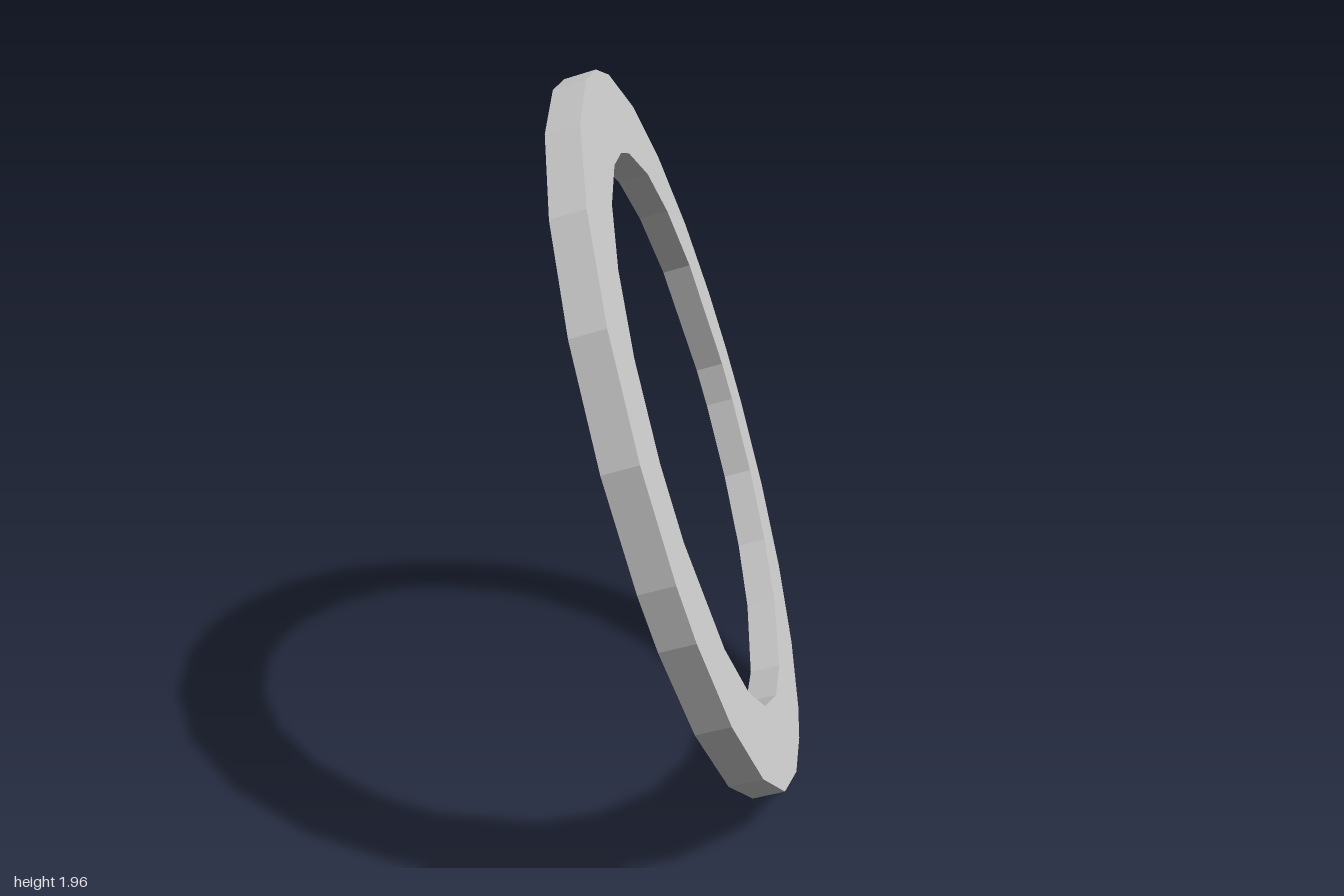
import * as THREE from 'three';

const OUTER = 1.01, INNER = 0.785, THICKNESS = 0.088, TILT = 0.288;

// Corner angles in degrees, measured from the top towards +z
const outerAngles = [0, 11.5, 27.5, 44.5, 61.5, 78.5, 94, 102.5, 118, 135, 152, 168.5,
  182, 191.5, 208, 225, 242, 259, 270, 282, 297.5, 315, 331, 348.5];
const innerAngles = [0, 12, 28.5, 45, 62, 80, 94, 118, 135, 151, 169,
  185, 208, 225, 243, 261, 270, 297, 315, 331.5, 350];

function corners(angles, radius) {
  return angles.map((deg) => {
    const a = THREE.MathUtils.degToRad(deg);
    return new THREE.Vector2(-Math.sin(a) * radius * 0.993, Math.cos(a) * radius);
  });
}

export function createModel() {
  const model = new THREE.Group();
  const material = new THREE.MeshStandardMaterial({ color: 0xcccccc, flatShading: true });

  // Flat faceted ring with a faceted hole
  const shape = new THREE.Shape(corners(outerAngles, OUTER));
  shape.holes.push(new THREE.Path(corners(innerAngles, INNER)));
  const geometry = new THREE.ExtrudeGeometry(shape, { depth: THICKNESS, bevelEnabled: false });
  geometry.translate(0, 0, -THICKNESS / 2);

  // Turn the axis to x, lean the ring over and stand it on the ground
  geometry.rotateY(Math.PI / 2);
  geometry.rotateZ(TILT);
  geometry.computeBoundingBox();
  geometry.translate(0, -geometry.boundingBox.min.y, 0);

  const ring = new THREE.Mesh(geometry, material);
  ring.name = 'ring';
  model.add(ring);
  return model;
}
